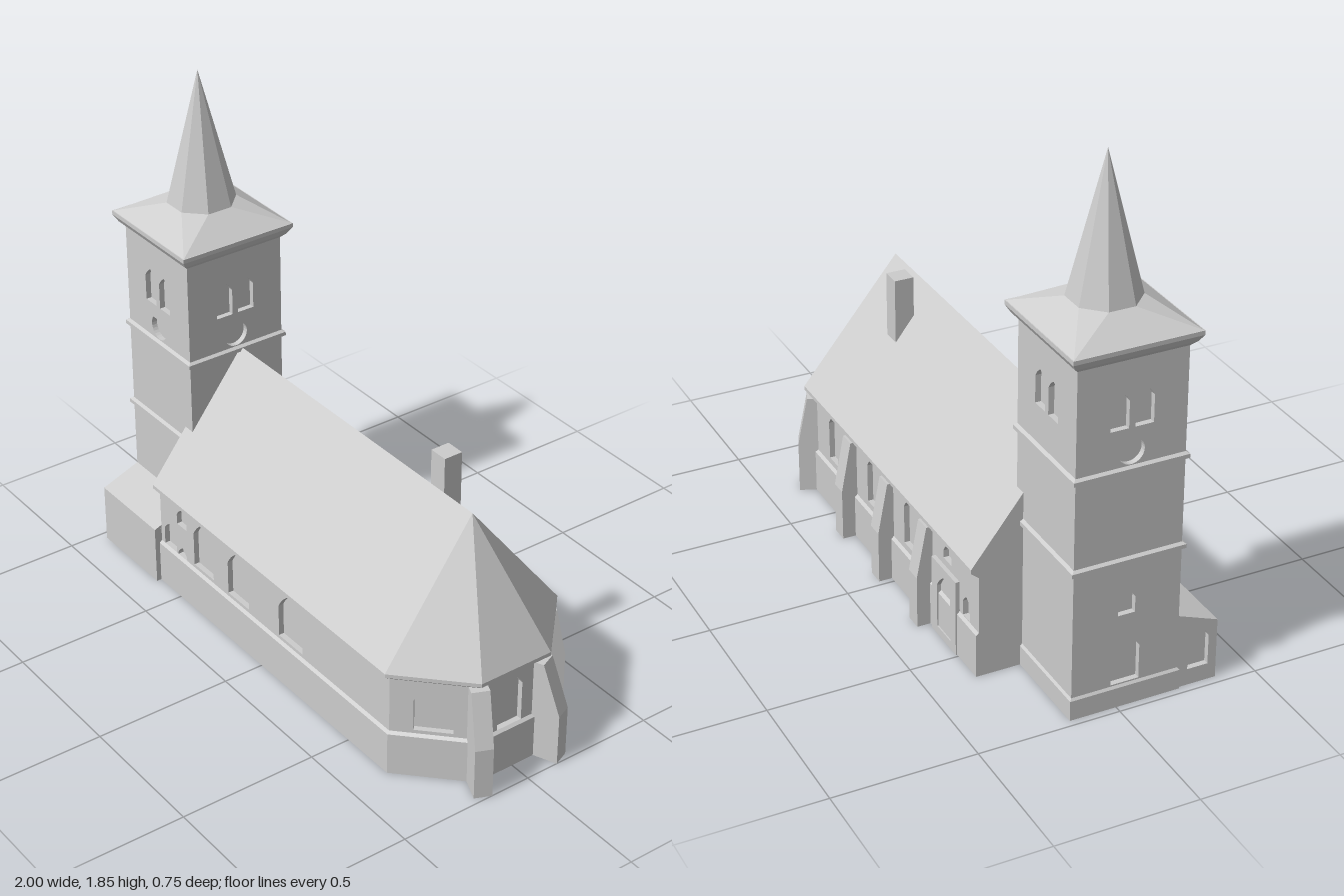
import * as THREE from 'three';

const stone = new THREE.MeshStandardMaterial({ color: 0xcccccc });
stone.name = 'pale stone';

export function createModel() {
  const church = new THREE.Group();
  church.name = 'church';

  function add(geometry, name, parent = church) {
    const mesh = new THREE.Mesh(geometry, stone);
    mesh.name = name;
    parent.add(mesh);
    return mesh;
  }

  // Flat-faced solid through rings of [x, y, z], anticlockwise from above
  function loft(rings) {
    const pos = [];
    const tri = (a, b, c) => {
      const [A, B, C] = [a, b, c].map((p) => new THREE.Vector3(...p));
      if (B.sub(A).cross(C.sub(A)).length() > 1e-8) pos.push(...a, ...b, ...c);
    };
    const n = rings[0].length;
    for (let k = 0; k + 1 < rings.length; k++) {
      for (let i = 0; i < n; i++) {
        const j = (i + 1) % n, lo = rings[k], hi = rings[k + 1];
        tri(lo[i], lo[j], hi[j]);
        tri(lo[i], hi[j], hi[i]);
      }
    }
    const bottom = rings[0], top = rings[rings.length - 1];
    for (let i = 1; i + 1 < n; i++) {
      tri(bottom[0], bottom[i + 1], bottom[i]);
      tri(top[0], top[i], top[i + 1]);
    }
    const g = new THREE.BufferGeometry();
    g.setAttribute('position', new THREE.Float32BufferAttribute(pos, 3));
    g.computeVertexNormals();
    return g;
  }

  // Openings: pointed arch, or drop with a round bottom
  function arch(x, y, w, h) {
    const s = y + h - 0.55 * w, p = new THREE.Path();
    p.moveTo(x - w / 2, y).lineTo(x + w / 2, y).lineTo(x + w / 2, s);
    p.quadraticCurveTo(x + 0.34 * w, y + h - 0.22 * w, x, y + h);
    p.quadraticCurveTo(x - 0.34 * w, y + h - 0.22 * w, x - w / 2, s);
    return p.closePath();
  }
  function drop(x, y, r) {
    const p = new THREE.Path();
    p.moveTo(x, y + 1.4 * r);
    p.absarc(x, y, r, Math.PI * 0.78, Math.PI * 2.22, false);
    return p.closePath();
  }

  // Wall slab from p to q ([x, z]), outer face on that line, with openings
  const THICK = 0.022;
  function wall(p, q, height, holes, name) {
    const dx = q[0] - p[0], dz = q[1] - p[1], w = Math.hypot(dx, dz);
    const s = new THREE.Shape();
    s.moveTo(0, 0).lineTo(w, 0).lineTo(w, height).lineTo(0, height).closePath();
    s.holes = holes;
    const g = new THREE.ExtrudeGeometry(s, { depth: THICK, bevelEnabled: false, curveSegments: 10 });
    g.translate(0, 0, -THICK);
    const m = add(g, name);
    m.rotation.y = Math.atan2(-dz, dx);
    m.position.set(p[0], 0, p[1]);
  }

  // Nave outline, grown or shrunk by d
  const outline = (d, y) => [
    [-0.63, 0.34 + d], [0.705 + 0.4 * d, 0.34 + d], [0.91 + d, 0.142 + 0.4 * d],
    [0.91 + d, -0.117 - 0.4 * d], [0.705 + 0.4 * d, -0.315 - d], [-0.63, -0.315 - d],
  ].map(([x, z]) => [x, y, z]);
  const corner = outline(0, 0).map(([x, , z]) => [x, z]);
  const core = outline(-THICK + 0.002, 0);
  core[0][0] = core[5][0] = -0.61;
  add(loft([core, core.map(([x, , z]) => [x, 0.39, z])]), 'naveCore');

  const southHoles = [[-0.36, 0.18, 0.12, 0.195], [-0.147, 0.18, 0.125, 0.195], [0.16, 0.18, 0.135, 0.195],
    [-0.575, 0.13, 0.085, 0.135], [-0.495, 0.295, 0.06, 0.07], [-0.495, 0.12, 0.055, 0.085]]
    .map(([x, ...r]) => arch(x + 0.63, ...r));
  const northHoles = [[0.53, 0.19, 0.07, 0.18], [0.2, 0.19, 0.07, 0.18], [-0.1, 0.19, 0.07, 0.18],
    [-0.4, 0.305, 0.06, 0.06], [-0.54, 0.17, 0.05, 0.08]]
    .map(([x, ...r]) => arch(0.705 - x, ...r));
  const diagonal = () => [arch(0.143, 0.18, 0.13, 0.19)];
  const naveHoles = [southHoles, diagonal(), [arch(0.13, 0.165, 0.1, 0.205)], diagonal(), northHoles, []];
  naveHoles.forEach((h, i) => wall(corner[i], corner[(i + 1) % 6], 0.39, h, i > 0 && i < 4 ? 'apseWall' : 'naveWall'));

  add(loft([outline(0.01, 0), outline(0.01, 0.158), outline(0, 0.167)]), 'navePlinth');
  add(loft([outline(0, 0.375), outline(0.028, 0.398), outline(0.028, 0.41)]), 'naveCornice');

  // Roof with a hipped apse end
  const west = [-0.63, 0.87, 0.012], east = [0.695, 0.87, 0.012];
  add(loft([outline(0.028, 0.405), outline(0.028, 0.412), [west, east, east, east, east, west]]), 'naveRoof');
  add(new THREE.BoxGeometry(0.07, 0.25, 0.07), 'chimney').position.set(0.43, 0.8, -0.093);

  // Doorway surround on the north wall
  wall([-0.31, -0.33], [-0.49, -0.33], 0.28, [arch(0.09, 0.03, 0.1, 0.215)], 'northDoorway');

  // Buttresses: sloping profile pushed outwards from the wall
  function buttress(x, z, nx, nz, reach) {
    const s = new THREE.Shape();
    s.moveTo(-0.04, 0).lineTo(reach, 0).lineTo(reach, 0.19).lineTo(0.022, 0.376).lineTo(-0.04, 0.376).closePath();
    const g = new THREE.ExtrudeGeometry(s, { depth: 0.062, bevelEnabled: false });
    g.translate(0, 0, -0.031);
    const m = add(g, 'buttress');
    m.position.set(x, 0, z);
    m.rotation.y = Math.atan2(-nz, nx);
  }
  for (const x of [-0.255, 0.052, 0.358]) buttress(x, -0.315, 0, -1, 0.058);
  buttress(0.705, -0.315, 0.4, -0.92, 0.058);
  buttress(0.91, 0.142, 0.92, 0.4, 0.085);
  buttress(0.91, -0.117, 0.92, -0.4, 0.085);

  // Tower
  const TX = -0.777, TZ = 0.032, H = 0.191;
  const square = (r, y) => [[-1, 1], [1, 1], [1, -1], [-1, -1]].map(([a, b]) => [TX + a * r, y, TZ + b * r]);
  add(loft([square(H - THICK + 0.002, 0), square(H - THICK + 0.002, 1.26)]), 'towerCore');
  const tc = square(H, 0).map(([x, , z]) => [x, z]);
  for (let i = 0; i < 4; i++) {
    const holes = [-1, 1].map((s) => arch(H + s * 0.043, 1.01, 0.064, 0.13));
    if (i !== 2) holes.push(drop(H, 0.928, 0.046));
    if (i === 3) holes.push(arch(H, 0.085, 0.1, 0.18), arch(H, 0.34, 0.06, 0.09));
    wall(tc[i], tc[(i + 1) % 4], 1.26, holes, 'towerWall');
  }
  for (const y of [0.54, 0.865]) {
    add(loft([square(H, y - 0.014), square(H + 0.011, y - 0.007), square(H + 0.011, y + 0.007), square(H, y + 0.014)]), 'towerBand');
  }
  add(loft([square(H + 0.007, 0), square(H + 0.007, 0.072), square(H, 0.08)]), 'towerPlinth');
  add(loft([square(H, 1.245), square(0.208, 1.262), square(0.223, 1.287), square(0.223, 1.302)]), 'towerCornice');

  // Skirt from square eaves to an octagonal spire
  const octagon = (r, y) => Array.from({ length: 8 }, (_, i) => {
    const a = (i * 2 + 5) * Math.PI / 8;
    return [TX + r * Math.cos(a), y, TZ + r * Math.sin(a)];
  }).reverse();
  const base = octagon(0.121, 1.372);
  const eaves = base.map(([x, , z]) => [TX + Math.sign(x - TX) * 0.22, 1.302, TZ + Math.sign(z - TZ) * 0.22]);
  add(loft([eaves, base]), 'spireSkirt');
  add(loft([base, base.map(() => [TX, 1.852, TZ])]), 'spire');

  // Lean-to beside the tower
  const lean = [[-0.968, 0.368], [-0.63, 0.368], [-0.63, 0.2], [-0.968, 0.2]];
  const inner = [[-0.948, 0.348], [-0.63, 0.348], [-0.63, 0.2], [-0.948, 0.2]];
  const slope = (z) => 0.22 + (0.368 - z) * 0.38;
  add(loft([inner.map(([x, z]) => [x, 0, z]), inner.map(([x, z]) => [x, 0.215, z])]), 'leanToCore');
  wall(lean[0], lean[1], 0.22, [], 'leanToWall');
  wall(lean[3], lean[0], 0.22, [arch(0.1, 0.06, 0.075, 0.15)], 'leanToWall');
  add(loft([lean.map(([x, z]) => [x, 0.216, z]), lean.map(([x, z]) => [x, slope(z), z])]), 'leanToRoof');

  return church;
}
